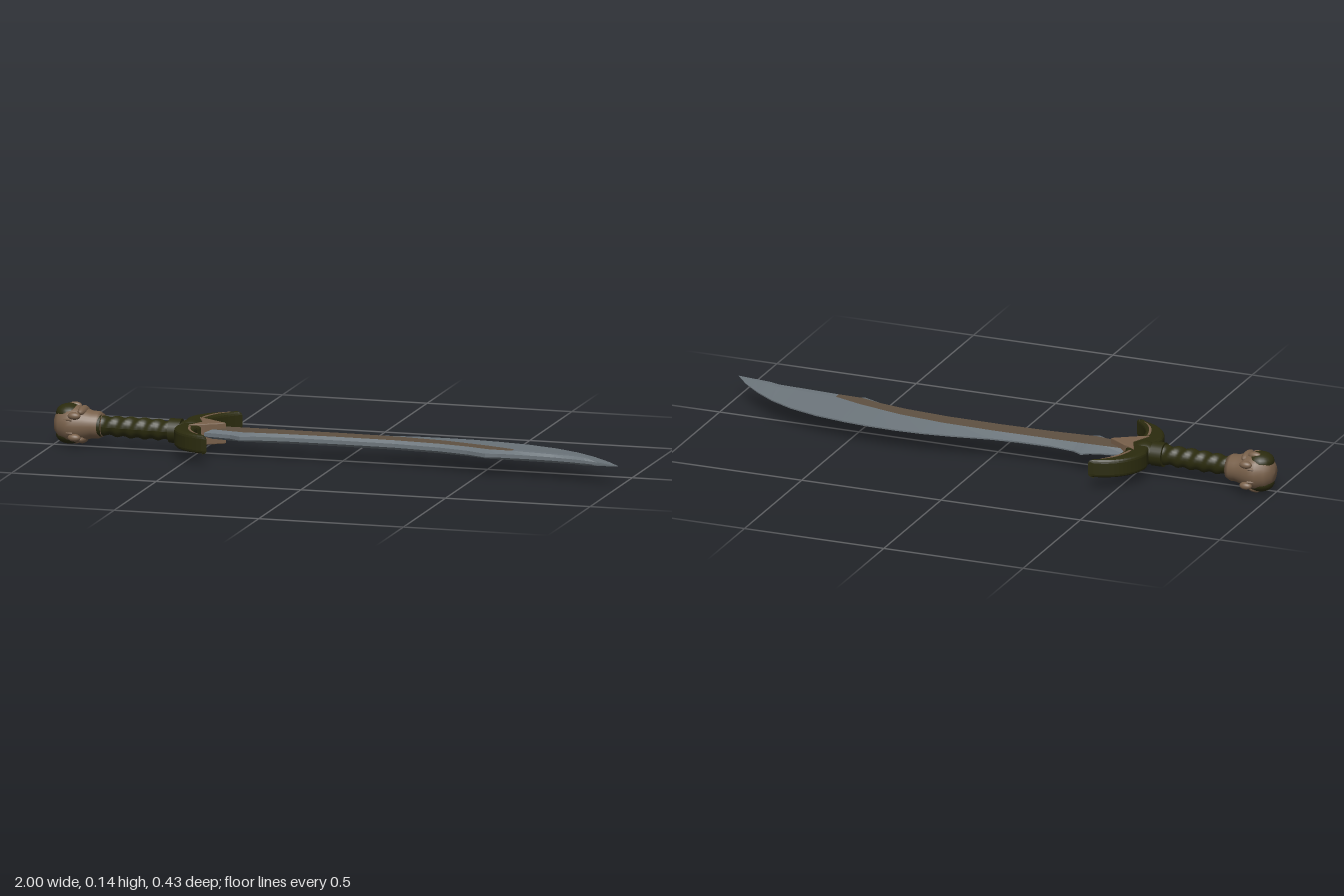
import * as THREE from 'three';

const paint = (name, color) => {
  const m = new THREE.MeshStandardMaterial({ color });
  m.name = name;
  return m;
};
const MID = 0.075; // height of the sword's centre plane

// Piecewise linear lookup in a list of [x, z] points
function at(points, x) {
  for (let i = 1; i < points.length; i++) {
    const [x0, z0] = points[i - 1], [x1, z1] = points[i];
    if (x <= x1) return z0 + (z1 - z0) * (x - x0) / (x1 - x0);
  }
  return points[points.length - 1][1];
}

// Blade outline and the two ridges bounding the flat, as [x, z]
const cutting = [[-0.48, -0.05], [-0.39, -0.068], [-0.36, -0.078], [-0.335, -0.096], [-0.3, -0.076], [-0.21, -0.064],
  [-0.1, -0.066], [0, -0.076], [0.135, -0.1], [0.23, -0.112], [0.325, -0.116], [0.42, -0.114], [0.51, -0.105],
  [0.62, -0.086], [0.725, -0.053], [0.81, -0.009], [0.885, 0.046], [0.95, 0.106], [1, 0.166]];
const spine = [[-0.48, 0.04], [-0.375, 0.055], [-0.335, 0.077], [-0.29, 0.06], [-0.185, 0.048], [0, 0.043], [0.19, 0.045],
  [0.35, 0.062], [0.455, 0.087], [0.525, 0.118], [0.565, 0.107], [0.67, 0.106], [0.76, 0.111], [0.83, 0.121],
  [0.92, 0.14], [1, 0.166]];
const ridgeBack = [[-0.48, -0.03], [-0.32, -0.034], [0, -0.036], [0.19, -0.03], [0.35, -0.01], [0.51, 0.03],
  [0.61, 0.065], [0.83, 0.085], [1, 0.166]];
const ridgeFront = [[-0.48, 0.02], [-0.335, 0.045], [-0.185, 0.034], [0, 0.03], [0.19, 0.032], [0.35, 0.046],
  [0.455, 0.066], [0.525, 0.088], [0.61, 0.09], [0.83, 0.108], [1, 0.166]];
const thickness = [[-0.48, 0.016], [0.6, 0.016], [0.87, 0.013], [1, 0.001]];

function buildBlade(steel, fullerMat) {
  const blade = new THREE.Group();
  blade.name = 'blade';
  const xs = [...new Set([cutting, spine, ridgeBack, ridgeFront, thickness].flat().map(p => p[0]))].sort((a, b) => a - b);
  // Cross-section loop, running around the blade
  const section = x => {
    const t = at(thickness, x);
    const half = [[cutting, 0.15], [ridgeBack, 1], [ridgeFront, 1], [spine, 0.4]]
      .map(([line, k]) => [x, t * k, at(line, x)]);
    return [...half, ...half.map(([px, y, z]) => [px, -y, z]).reverse()];
  };
  const loops = xs.map(section);
  const steelPos = [], fullerPos = [];
  for (let i = 0; i + 1 < xs.length; i++) {
    for (let j = 0; j < 8; j++) {
      const k = (j + 1) % 8, a = loops[i], b = loops[i + 1];
      const inFuller = (j === 1 || j === 5) && xs[i + 1] <= 0.611;
      (inFuller ? fullerPos : steelPos).push(...[a[j], a[k], b[k], a[j], b[k], b[j]].flat());
    }
  }
  for (const [name, pos, mat] of [['bladeSteel', steelPos, steel], ['bladeFuller', fullerPos, fullerMat]]) {
    const g = new THREE.BufferGeometry();
    g.setAttribute('position', new THREE.Float32BufferAttribute(pos, 3));
    g.computeVertexNormals();
    const mesh = new THREE.Mesh(g, mat);
    mesh.name = name;
    blade.add(mesh);
  }
  return blade;
}

// Flat outline in x and z, thickened evenly above and below the centre plane
function plate(name, shape, height, bevel, mat) {
  const g = new THREE.ExtrudeGeometry(shape, {
    depth: height - 2 * bevel, bevelEnabled: bevel > 0, bevelThickness: bevel, bevelSize: bevel,
    bevelOffset: -bevel, bevelSegments: 3, curveSegments: 14,
  });
  g.translate(0, 0, -(height - 2 * bevel) / 2).rotateX(Math.PI / 2);
  const mesh = new THREE.Mesh(g, mat);
  mesh.name = name;
  return mesh;
}

function ball(name, mat, [x, y, z], [sx, sy, sz]) {
  const mesh = new THREE.Mesh(new THREE.SphereGeometry(1, 20, 14), mat);
  mesh.position.set(x, y, z);
  mesh.scale.set(sx, sy, sz);
  mesh.name = name;
  return mesh;
}

function buildGuard(leather, bronze) {
  const guard = new THREE.Group();
  guard.name = 'guard';
  // Crescent with both horns swept toward the blade
  const s = new THREE.Shape();
  s.moveTo(-0.41, -0.213);
  s.bezierCurveTo(-0.5, -0.205, -0.555, -0.14, -0.56, -0.07);
  s.lineTo(-0.545, 0);
  s.lineTo(-0.56, 0.07);
  s.bezierCurveTo(-0.555, 0.14, -0.5, 0.205, -0.41, 0.213);
  s.bezierCurveTo(-0.46, 0.17, -0.49, 0.12, -0.485, 0.065);
  s.lineTo(-0.455, 0);
  s.lineTo(-0.485, -0.065);
  s.bezierCurveTo(-0.49, -0.12, -0.46, -0.17, -0.41, -0.213);
  guard.add(plate('guardCrescent', s, 0.064, 0.012, leather));

  // Pointed clasp over the blade root
  const v = new THREE.Shape([[-0.515, -0.068], [-0.465, -0.04], [-0.405, 0], [-0.465, 0.04], [-0.515, 0.068],
    [-0.485, 0]].map(p => new THREE.Vector2(...p)));
  guard.add(plate('clasp', v, 0.072, 0.004, bronze));
  guard.add(ball('guardBoss', leather, [-0.525, 0, 0], [0.05, 0.04, 0.042]));

  // Thin inlays along the inner rim of each horn
  for (const side of [-1, 1]) {
    const r = new THREE.Shape();
    r.moveTo(-0.445, side * 0.192);
    r.quadraticCurveTo(-0.49, side * 0.15, -0.502, side * 0.08);
    r.lineTo(-0.51, side * 0.08);
    r.quadraticCurveTo(-0.5, side * 0.155, -0.445, side * 0.192);
    guard.add(plate('hornInlay', r, 0.067, 0, bronze));
  }
  return guard;
}

function buildGrip(leather) {
  // Spirally wound grip
  const g = new THREE.CylinderGeometry(1, 1, 0.32, 24, 72).rotateZ(-Math.PI / 2);
  const p = g.attributes.position;
  for (let i = 0; i < p.count; i++) {
    const x = p.getX(i), y = p.getY(i), z = p.getZ(i);
    const swell = 0.031 + 0.003 * Math.cos(x * 12);
    const r = swell + 0.003 * Math.sin(2 * Math.atan2(z, y) + x * 130);
    p.setXYZ(i, x - 0.7, y * r, z * r + 0.006 + x * 0.07 - 0.006);
  }
  g.computeVertexNormals();
  const grip = new THREE.Mesh(g, leather);
  grip.name = 'grip';
  return grip;
}

function buildPommel(leather, bronze) {
  const pommel = new THREE.Group();
  pommel.name = 'pommel';
  // Carved head: rounded body narrowing to a neck
  const profile = [[0, -0.077], [0.03, -0.073], [0.052, -0.055], [0.064, -0.025], [0.063, 0], [0.054, 0.03],
    [0.046, 0.055], [0.046, 0.075], [0.038, 0.09], [0, 0.092]].map(q => new THREE.Vector2(...q));
  const body = new THREE.Mesh(new THREE.LatheGeometry(profile, 28).rotateZ(-Math.PI / 2), bronze);
  body.name = 'pommelHead';
  pommel.add(body);
  for (const up of [-1, 1]) {
    pommel.add(ball('darkCap', leather, [-0.026, up * 0.037, 0], [0.046, 0.031, 0.046]));
    // Crest and brow knobs on each face
    pommel.add(ball('crest', bronze, [-0.012, up * 0.058, -0.016], [0.024, 0.013, 0.012]));
    pommel.add(ball('browRidge', bronze, [0.022, up * 0.046, 0.005], [0.016, 0.017, 0.042]));
    for (const side of [-1, 1]) {
      pommel.add(ball('ear', bronze, [0.005, up * 0.037, side * 0.057], [0.022, 0.013, 0.014]));
      // Narrow claw ribs over the dark cap
      const rib = new THREE.Mesh(new THREE.TorusGeometry(0.064, 0.005, 6, 20, 1.5), bronze);
      rib.rotation.set(up * (Math.PI / 2 - side * 1.2) - up * Math.PI / 2, 0, up > 0 ? 1.6 : 3.2);
      rib.name = 'clawRib';
      pommel.add(rib);
    }
  }
  const end = ball('endCap', leather, [-0.064, 0, 0], [0.012, 0.036, 0.03]);
  pommel.add(end);
  pommel.position.set(-0.923, 0, -0.017);
  return pommel;
}

export function createModel() {
  const steel = paint('steel', 0x6c757b);
  const fuller = paint('bronzedSteel', 0x5f5142);
  const leather = paint('darkOlive', 0x2b2b0e);
  const bronze = paint('agedBronze', 0x78604a);

  const model = new THREE.Group();
  model.name = 'curvedSword';
  model.add(buildBlade(steel, fuller), buildGuard(leather, bronze), buildGrip(leather), buildPommel(leather, bronze));

  // Collars where the grip meets the guard and pommel
  for (const [x, z, r, w] of [[-0.575, 0.006, 0.041, 0.04], [-0.845, -0.01, 0.038, 0.02]]) {
    const collar = new THREE.Mesh(new THREE.CylinderGeometry(r, r, w, 24).rotateZ(Math.PI / 2), leather);
    collar.position.set(x, 0, z);
    collar.name = 'gripCollar';
    model.add(collar);
  }
  for (const part of model.children) part.position.y += MID;
  return model;
}
